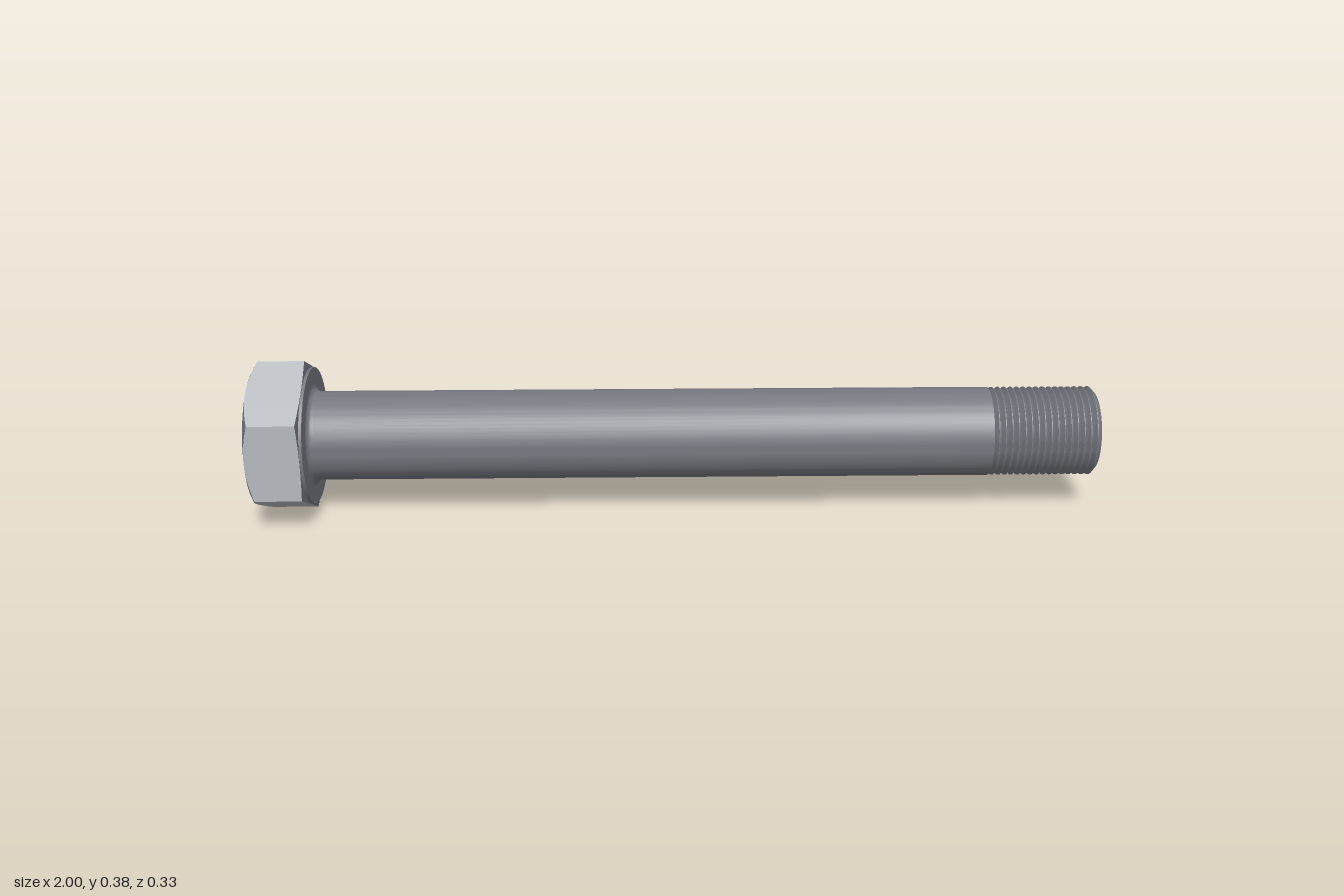
import * as THREE from 'three';
import { toCreasedNormals } from 'three/addons/utils/BufferGeometryUtils.js';

const AXIS_Y = 0.19;      // height of the bolt axis
const APOTHEM = 0.165;    // half the width across the flats
const SHANK = 0.106;
const ROOT = 0.097;       // thread root radius
const THREAD_START = 0.745;

// Turned part: profile of [x, radius] pairs running towards +x
function turned(name, profile, material) {
  const points = profile.map(([x, r]) => new THREE.Vector2(r, x));
  const geometry = toCreasedNormals(new THREE.LatheGeometry(points, 72), 0.5);
  geometry.rotateZ(-Math.PI / 2);
  const mesh = new THREE.Mesh(geometry, material);
  mesh.name = name;
  return mesh;
}

// Skin over rings; each ring maps the hexagon's radius at an angle to [x, radius]
function hexBand(name, rings, material) {
  const n = 72;
  const positions = [], indices = [];
  rings.forEach((ring, k) => {
    for (let i = 0; i < n; i++) {
      const a = (i / n) * Math.PI * 2;
      const fromFlat = ((i % 12) / 12 - 0.5) * (Math.PI / 3);
      const [x, r] = ring(APOTHEM / Math.cos(fromFlat));
      positions.push(x, r * Math.cos(a), r * Math.sin(a));
      if (k === 0) continue;
      const c = k * n + i, d = k * n + (i + 1) % n;
      indices.push(c - n, d - n, d, c - n, d, c);
    }
  });
  const geometry = new THREE.BufferGeometry();
  geometry.setAttribute('position', new THREE.Float32BufferAttribute(positions, 3));
  geometry.setIndex(indices);
  const mesh = new THREE.Mesh(toCreasedNormals(geometry, 0.3), material);
  mesh.name = name;
  return mesh;
}

export function createModel() {
  const group = new THREE.Group();
  group.name = 'hexBolt';
  const darkSteel = new THREE.MeshStandardMaterial({ color: 0x777981 });
  const brightSteel = new THREE.MeshStandardMaterial({ color: 0xb5b9be });

  const bolt = new THREE.Group();
  bolt.name = 'bolt';
  bolt.position.y = AXIS_Y;
  group.add(bolt);

  // Head: bright flats between dark, cone-cut end faces
  const outerEdge = (hex) => [-1 + (hex - APOTHEM) * 0.58, hex];
  const innerEdge = (hex) => [-0.872 - (hex - APOTHEM) * 0.12, hex];
  bolt.add(
    hexBand('headTop', [() => [-1, 0], () => [-1, APOTHEM * 0.995], outerEdge], darkSteel),
    hexBand('headFlats', [outerEdge, innerEdge], brightSteel),
    hexBand('headUnderside', [innerEdge, () => [-0.872, APOTHEM * 0.99], () => [-0.872, 0.1]], darkSteel),
  );

  // Raised bearing face under the head
  bolt.add(turned('washerFace', [[-0.875, 0.163], [-0.865, 0.163], [-0.865, 0.1]], darkSteel));

  // Plain shank with a fillet into the head
  const shank = [];
  const fillet = 0.015;
  for (let i = 0; i <= 6; i++) {
    const a = (i / 6) * Math.PI / 2;
    shank.push([-0.865 + fillet * (1 - Math.cos(a)), SHANK + fillet * (1 - Math.sin(a))]);
  }
  shank.push([THREAD_START, SHANK], [THREAD_START + 0.004, ROOT]);
  bolt.add(turned('shank', shank, darkSteel));

  // Threaded end: V grooves, the last crest running into the chamfered tip
  const thread = [[THREAD_START + 0.004, ROOT]];
  const turns = 16;
  const pitch = (0.992 - THREAD_START) / turns;
  for (let i = 0; i < turns; i++) {
    const x = THREAD_START + 0.004 + i * pitch;
    thread.push([x + pitch * 0.44, SHANK], [x + pitch * 0.56, SHANK]);
    if (i < turns - 1) thread.push([x + pitch, ROOT]);
  }
  thread.push([1, 0.094], [1, 0]);
  bolt.add(turned('thread', thread, darkSteel));

  return group;
}
